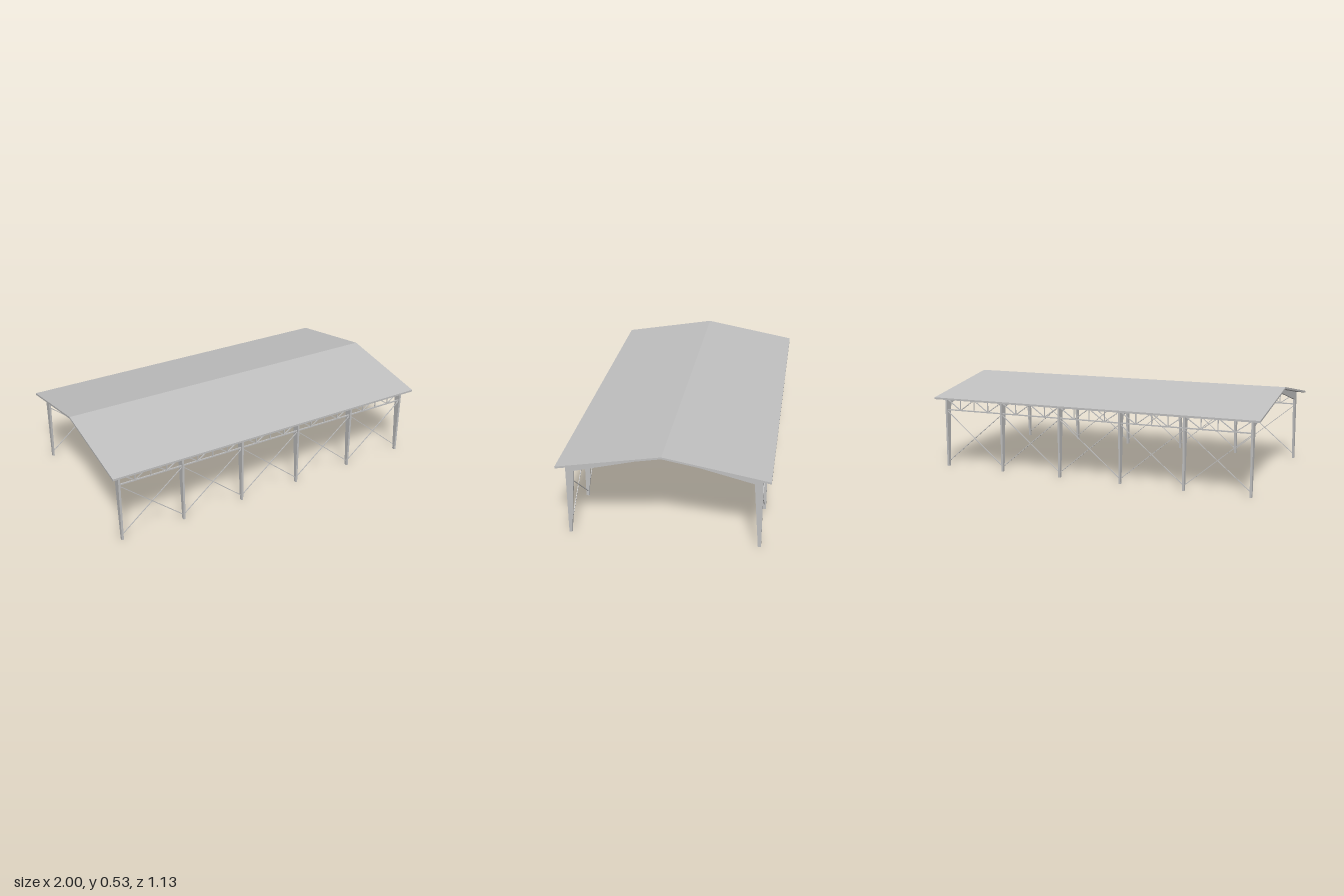
import * as THREE from 'three';

export function createModel() {
  const group = new THREE.Group();
  const steel = new THREE.MeshStandardMaterial({ color: 0xc0c0c0 });
  steel.name = 'light grey steel';

  const add = (name, geometry) => {
    const mesh = new THREE.Mesh(geometry, steel);
    mesh.name = name;
    group.add(mesh);
    return mesh;
  };

  // Extrudes a symmetric (z, y) half profile along x, centred on x = cx
  const gableExtrude = (name, half, width, cx) => {
    const pts = [...half, ...half.filter(p => p[0] > 0).reverse().map(([z, y]) => [-z, y])];
    const shape = new THREE.Shape(pts.map(([z, y]) => new THREE.Vector2(z, y)));
    const g = new THREE.ExtrudeGeometry(shape, { depth: width, bevelEnabled: false });
    g.translate(0, 0, -width / 2);
    g.rotateY(Math.PI / 2);
    g.translate(cx, 0, 0);
    return add(name, g);
  };

  // Square bar between two points
  const bar = (name, a, b, size) => {
    const from = new THREE.Vector3(...a), to = new THREE.Vector3(...b);
    const mesh = add(name, new THREE.BoxGeometry(size, size, from.distanceTo(to)));
    mesh.position.addVectors(from, to).multiplyScalar(0.5);
    mesh.lookAt(to);
    return mesh;
  };

  // Roof sheet, folded at the ridge
  gableExtrude('roof', [[0, 0.516], [0.565, 0.416], [0.565, 0.427], [0, 0.527]].reverse(), 2, 0);

  // Tapered portal frames
  const frameX = Array.from({ length: 6 }, (_, i) => -0.948 + i * 0.3792);
  for (const x of frameX) {
    const outline = [[0, 0.515], [0.522, 0.4225], [0.522, 0], [0.505, 0], [0.477, 0.383], [0, 0.502]];
    const pts = [...outline, ...outline.slice(1, 5).reverse().map(([z, y]) => [-z, y])];
    const shape = new THREE.Shape(pts.map(([z, y]) => new THREE.Vector2(-z, y)));
    const g = new THREE.ExtrudeGeometry(shape, { depth: 0.012, bevelEnabled: false });
    g.translate(0, 0, -0.006).rotateY(Math.PI / 2).translate(x, 0, 0);
    add('portalFrame', g);
  }

  const first = frameX[0], last = frameX[5];
  for (const side of [1, -1]) {
    // Purlins under the roof slope
    for (let i = 0; i < 7; i++) {
      const z = 0.03 + i * 0.074;
      const y = 0.516 - z * 0.177 - 0.004;
      bar('purlin', [first, y, side * z], [last, y, side * z], 0.007);
    }

    // Eave truss chords
    const z = side * 0.512, top = 0.415, bottom = 0.348;
    bar('trussTopChord', [first, top, z], [last, top, z], 0.007);
    bar('trussBottomChord', [first, bottom, z], [last, bottom, z], 0.007);

    for (let bay = 0; bay < 5; bay++) {
      const x0 = frameX[bay], x1 = frameX[bay + 1], step = (x1 - x0) / 4;
      // Truss web
      for (let k = 0; k < 4; k++) {
        const x = x0 + k * step;
        if (k > 0) bar('trussPost', [x, bottom, z], [x, top, z], 0.005);
        const down = k % 2 === 0;
        bar('trussDiagonal', [x, down ? top : bottom, z], [x + step, down ? bottom : top, z], 0.005);
      }
      // Crossed wall bracing
      bar('wallBrace', [x0, 0.342, z], [x1, 0.027, z], 0.004);
      bar('wallBrace', [x0, 0.027, z], [x1, 0.342, z], 0.004);
    }
  }
  return group;
}
